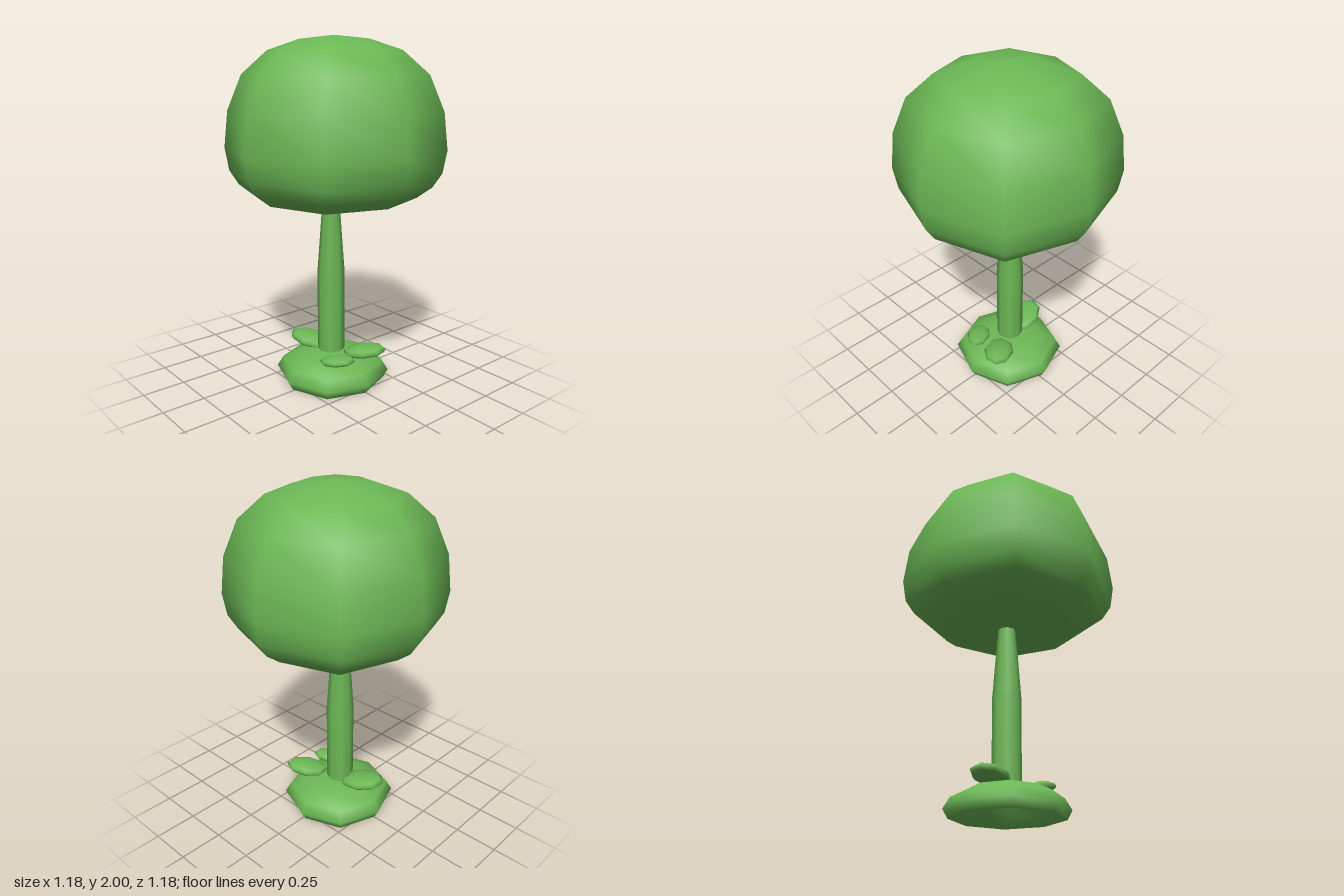
import * as THREE from 'three';

const green = new THREE.MeshStandardMaterial({ color: 0x6cb855 });

// Eight-sided turned solid from [radius, height] points, bottom to top;
// swell pushes the diagonal corners outwards for a slightly square plan
function turned(name, profile, swell = 0) {
  const geometry = new THREE.LatheGeometry(profile.map(([r, y]) => new THREE.Vector2(r, y)), 8);
  const p = geometry.attributes.position;
  for (let i = 0; i < p.count; i++) {
    const k = 1 + swell * Math.abs(Math.sin(2 * Math.atan2(p.getZ(i), p.getX(i))));
    p.setXYZ(i, p.getX(i) * k, p.getY(i), p.getZ(i) * k);
  }
  const mesh = new THREE.Mesh(geometry, green);
  mesh.name = name;
  return mesh;
}

// Flattened low-poly pebble, its long axis pointing along (dx, dz) and tipped up outwards
function leaf([x, y, z], [length, thickness, width], [dx, dz], tilt) {
  const mesh = new THREE.Mesh(new THREE.SphereGeometry(1, 8, 6), green);
  mesh.name = 'leaf';
  mesh.position.set(x, y, z);
  mesh.scale.set(length, thickness, width);
  mesh.rotation.set(0, Math.atan2(-dz, dx), tilt, 'YZX');
  return mesh;
}

export function createModel() {
  const group = new THREE.Group();

  // Rounded crown with a shallow underside
  group.add(turned('crown', [
    [0, 1.06], [0.29, 1.075], [0.44, 1.11], [0.52, 1.17], [0.57, 1.25], [0.592, 1.38],
    [0.57, 1.59], [0.49, 1.79], [0.35, 1.92], [0.18, 1.98], [0, 2],
  ], 0.062));

  // Trunk, straight then tapering into the crown
  const trunk = turned('trunk', [[0.08, 0.16], [0.08, 0.66], [0.05, 1.07], [0.045, 1.15]]);
  trunk.position.set(-0.024, 0, 0.005);
  group.add(trunk);

  // Low mound with its rim curled under
  const mound = turned('mound', [
    [0.22, 0.127], [0.298, 0], [0.325, 0.05], [0.29, 0.11], [0.2, 0.155], [0.1, 0.175], [0, 0.178],
  ], 0.03);
  mound.position.set(-0.014, 0, 0.004);
  group.add(mound);

  // Leaves around the foot of the trunk
  const leaves = new THREE.Group();
  leaves.name = 'leaves';
  leaves.add(
    leaf([-0.18, 0.192, 0.035], [0.14, 0.035, 0.1], [-1, 0.35], 0.16),
    leaf([0.165, 0.192, -0.095], [0.13, 0.035, 0.09], [1, -0.8], 0.15),
    leaf([0.155, 0.182, 0.105], [0.105, 0.028, 0.07], [1, -0.7], 0.12),
  );
  group.add(leaves);

  return group;
}
